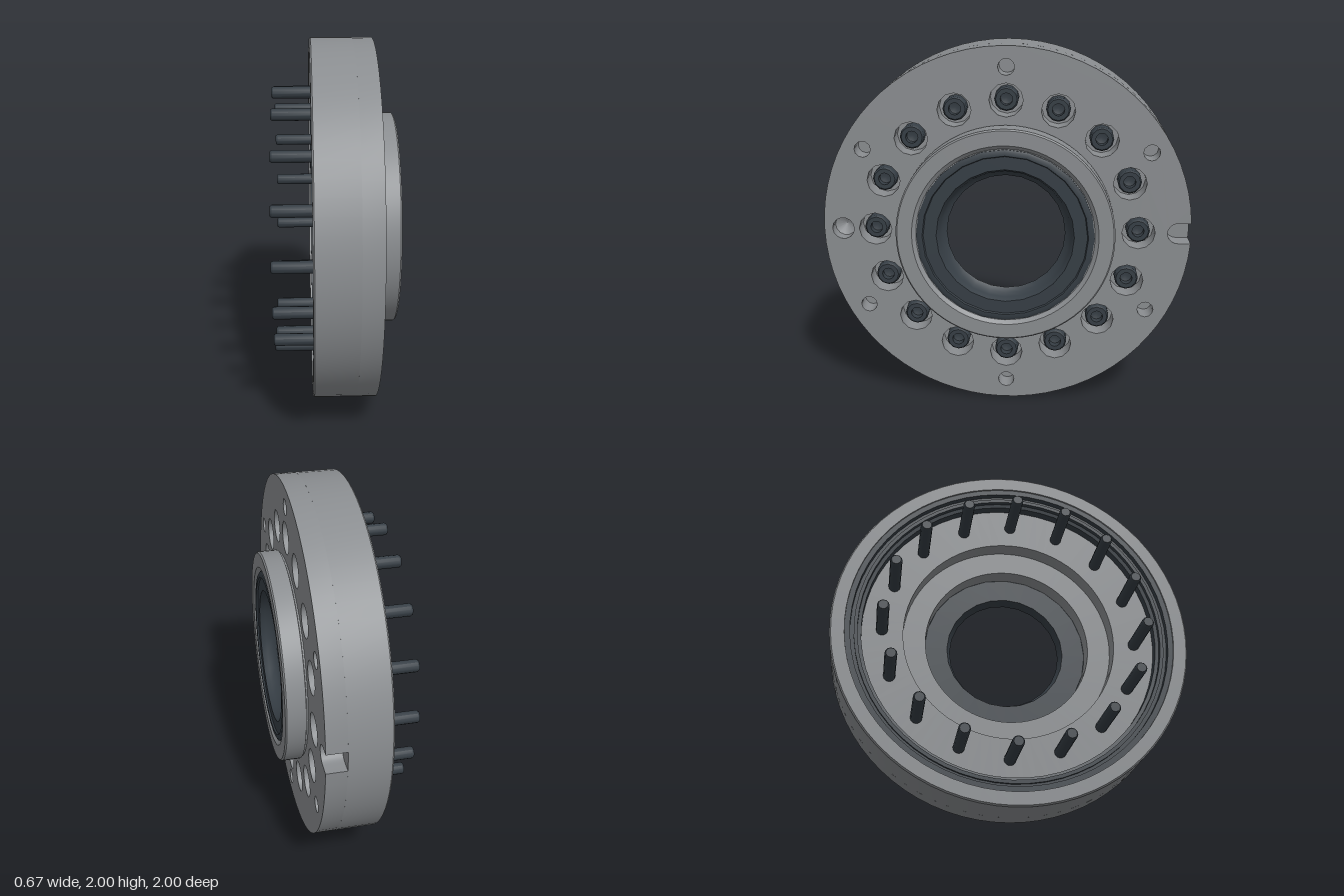
import * as THREE from 'three';
import { toCreasedNormals } from 'three/addons/utils/BufferGeometryUtils.js';

const CREASE = 0.7;

// Solid of revolution about the x axis; profile is a list of [radius, x]
function turned(profile, segments) {
  const pts = profile.map(([r, x]) => new THREE.Vector2(r, x));
  const geo = new THREE.LatheGeometry(pts, segments);
  geo.rotateZ(-Math.PI / 2);
  return toCreasedNormals(geo, CREASE);
}

// Points of a regular polygon
function ring(r, n, cx = 0, cy = 0) {
  return Array.from({ length: n }, (_, i) => {
    const a = (i / n) * Math.PI * 2;
    return new THREE.Vector2(cx + r * Math.cos(a), cy + r * Math.sin(a));
  });
}

// Points of an arc
function arc(r, a0, a1, n, cx = 0) {
  return Array.from({ length: n + 1 }, (_, i) => {
    const a = a0 + ((a1 - a0) * i) / n;
    return new THREE.Vector2(cx + r * Math.cos(a), r * Math.sin(a));
  });
}

export function createModel() {
  const model = new THREE.Group();
  model.name = 'sealedFlange';
  const steel = new THREE.MeshStandardMaterial({ color: 0x8a8d90 });
  steel.name = 'grey steel';
  const dark = new THREE.MeshStandardMaterial({ color: 0x363e45 });
  dark.name = 'dark blue grey';

  const add = (name, geo, mat) => {
    const mesh = new THREE.Mesh(geo, mat);
    mesh.name = name;
    model.add(mesh);
    return mesh;
  };

  // Stepped, hollow body
  add('flangeBody', turned([
    [0.92, -0.13], [0.992, -0.13], [1, -0.122], [1, 0.1], [0.47, 0.1],
    [0.47, 0.08], [0.6, 0.08], [0.6, -0.02], [0.92, -0.02], [0.92, -0.13],
  ], 72), steel);

  // Drilled face plate with an edge notch on the -z side
  const slot = 0.057;
  const a = Math.asin(slot);
  const plate = new THREE.Shape([
    ...arc(1, a, Math.PI * 2 - a, 72),
    ...arc(slot, -Math.PI / 2, -Math.PI * 1.5, 10, 0.93),
  ]);
  const drill = (r, n, cx, cy) => plate.holes.push(new THREE.Path(ring(r, n, cx, cy)));
  drill(0.47, 72, 0, 0);
  drill(0.06, 14, -0.895, 0);
  for (let i = 0; i < 16; i++) {
    const t = (i * Math.PI) / 8;
    drill(0.09, 12, 0.717 * Math.cos(t), 0.717 * Math.sin(t));
  }
  for (const deg of [30, 90, 150, 210, 270, 330]) {
    const t = THREE.MathUtils.degToRad(deg);
    drill(0.044, 12, 0.89 * Math.cos(t), 0.89 * Math.sin(t));
  }
  const plateGeo = new THREE.ExtrudeGeometry(plate, { depth: 0.11, bevelEnabled: false });
  plateGeo.rotateY(Math.PI / 2).translate(0.1, 0, 0);
  add('facePlate', toCreasedNormals(plateGeo, CREASE), steel);

  // Conical bottom of the large locating hole
  add('locatingHoleBottom', turned([[0.06, 0.14], [0, 0.103]], 14), steel)
    .position.z = 0.895;

  // Raised hub around the bore
  add('hub', turned([
    [0.575, 0.205], [0.575, 0.218], [0.587, 0.222], [0.587, 0.322], [0.579, 0.33],
    [0.5, 0.33], [0.48, 0.312], [0.47, 0.312], [0.47, 0.205],
  ], 72), steel);

  // Lip seal in the hub
  add('hubSeal', turned([
    [0.34, 0.18], [0.47, 0.18], [0.478, 0.19], [0.478, 0.318], [0.468, 0.325],
    [0.445, 0.325], [0.44, 0.315], [0.37, 0.315], [0.355, 0.285],
    [0.345, 0.25], [0.32, 0.23], [0.34, 0.18],
  ], 24), dark);

  // Grooved seal lining the open back
  add('rimSeal', turned([
    [0.83, -0.02], [0.83, -0.07], [0.85, -0.075], [0.85, -0.1],
    [0.87, -0.1], [0.87, -0.085], [0.89, -0.085], [0.89, -0.12],
    [0.92, -0.12], [0.92, -0.02],
  ], 60), dark);

  // Ring of sixteen socket-head bolts
  const boltGeo = turned([
    [0, -0.335], [0.026, -0.335], [0.033, -0.325], [0.033, 0.105], [0.065, 0.105],
    [0.065, 0.168], [0.057, 0.178], [0.033, 0.178], [0.033, 0.135], [0, 0.125],
  ], 12);
  const bolts = new THREE.Group();
  bolts.name = 'bolts';
  for (let i = 0; i < 16; i++) {
    const t = (i * Math.PI) / 8;
    const bolt = new THREE.Mesh(boltGeo, dark);
    bolt.name = 'bolt';
    bolt.position.set(0, 0.717 * Math.sin(t), 0.717 * Math.cos(t));
    bolts.add(bolt);
  }
  model.add(bolts);

  model.position.y = 1;
  const root = new THREE.Group();
  root.name = 'flangeAssembly';
  root.add(model);
  return root;
}
